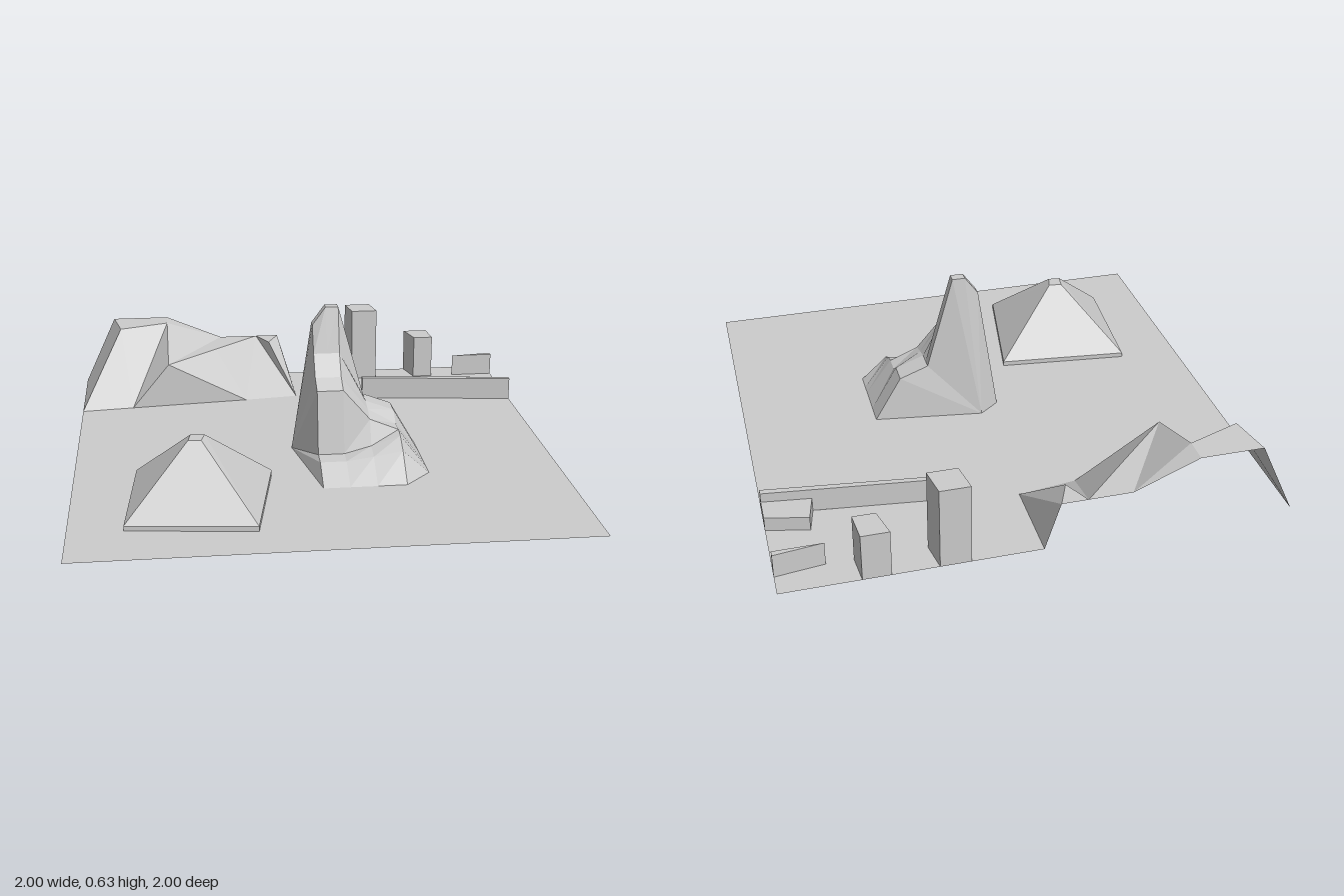
import * as THREE from 'three';

const material = new THREE.MeshStandardMaterial({
  color: 0xcccccc, flatShading: true, side: THREE.DoubleSide,
});

// Mesh from polygons; each polygon is a list of [x, y, z] corners.
function facets(name, polygons) {
  const pos = [];
  for (const p of polygons)
    for (let i = 1; i < p.length - 1; i++) pos.push(...p[0], ...p[i], ...p[i + 1]);
  const g = new THREE.BufferGeometry();
  g.setAttribute('position', new THREE.Float32BufferAttribute(pos, 3));
  g.computeVertexNormals();
  const m = new THREE.Mesh(g, material);
  m.name = name;
  return m;
}

const at = (plan, y) => plan.map(([x, z]) => [x, y, z]);

// Quads joining two rows of points, open or closed.
function band(a, b, closed = false) {
  const out = [];
  const n = closed ? a.length : a.length - 1;
  for (let i = 0; i < n; i++) {
    const j = (i + 1) % a.length;
    out.push([a[i], a[j], b[j], b[i]]);
  }
  return out;
}

// Stacked rings with a cap on the last one and an open bottom.
function stack(name, rings) {
  const polys = [];
  for (let i = 0; i < rings.length - 1; i++) polys.push(...band(rings[i], rings[i + 1], true));
  polys.push(rings[rings.length - 1]);
  return facets(name, polys);
}

// Plans are [x, z], counter-clockwise from above.
const pyramidPlan = [[-0.745, 0.225], [-0.787, 0.757], [-0.285, 0.815], [-0.195, 0.285]];
const pyramidTop = [[-0.525, 0.49], [-0.535, 0.55], [-0.485, 0.555], [-0.47, 0.495]];
const towerPlan = [[-0.085, 0], [0, 0.45], [0.45, 0.45], [0.45, 0], [0, -0.065]];
const tallBlock = [[0.28, -1], [0.3, -0.88], [0.42, -0.88], [0.4, -1]];
const shortBlock = [[0.58, -1], [0.61, -0.88], [0.7, -0.88], [0.69, -1]];
const longWall = [[0.31, -0.612], [0.31, -0.59], [1, -0.505], [1, -0.53]];
const lowBlock = [[0.83, -0.67], [0.805, -0.555], [1, -0.53], [1, -0.63]];
const cornerWall = [[0.805, -0.88], [1, -0.88], [1, -0.905]];

// Ground sheet, open under everything that stands on it.
function ground() {
  const outline = [
    [-1, 1], [1, 1], [1, -0.505], [0.31, -0.59], [0.31, -0.612], [0.807, -0.553],
    [0.83, -0.67], [1, -0.63], [1, -0.88], [0.805, -0.88], [1, -0.905], [1, -1],
    ...[...shortBlock].reverse(), ...[...tallBlock].reverse(),
    [0, -1], [0, -0.655], [-0.24, -0.625], [-0.77, -0.573], [-1, -0.55],
  ];
  const v = (p) => p.map(([x, z]) => new THREE.Vector2(x, -z));
  const shape = new THREE.Shape(v(outline));
  shape.holes.push(new THREE.Path(v(pyramidPlan)), new THREE.Path(v(towerPlan)));
  const m = new THREE.Mesh(new THREE.ShapeGeometry(shape).rotateX(-Math.PI / 2), material);
  m.name = 'ground';
  return m;
}

// Hills along the back edge, cut open at the back.
function hills() {
  const footL = [-1, 0, -0.55], footM = [-0.77, 0, -0.573], footR = [-0.24, 0, -0.625];
  const sideL = [-1, 0, -0.75], backL = [-1, 0, -1];
  const topBL = [-0.855, 0.31, -1], topFL = [-0.82, 0.31, -0.82];
  const topFR = [-0.6, 0.31, -0.9], topBR = [-0.6, 0.31, -1];
  const brow = [-0.6, 0.2, -0.588], ledgeL = [-0.34, 0.2, -1];
  const ledgeF = [-0.375, 0.2, -0.8], ledgeR = [-0.165, 0.2, -1];
  const spurF = [-0.11, 0.2, -0.89], spurB = [-0.06, 0.2, -1];
  const endF = [0, 0, -0.655], endB = [0, 0, -1];
  const high = facets('highHill', [
    [backL, sideL, topFL, topBL],
    [sideL, footL, topFL],
    [footL, footM, topFL], [footM, topFR, topFL], [footM, brow, topFR],
    [topBL, topFL, topFR, topBR],
    [topBR, topFR, ledgeL], [topFR, brow, ledgeL],
  ]);
  const low = facets('lowHill', [
    [ledgeL, brow, ledgeF, ledgeR],
    [footM, footR, brow],
    [brow, footR, ledgeF],
    [ledgeF, footR, ledgeR], [footR, endF, ledgeR],
    [ledgeR, endF, spurF], [ledgeR, spurF, spurB],
    [spurB, spurF, endF, endB],
  ]);
  return [high, low];
}

// Stepped rock tower: rows from back to front, heights across the columns.
function tower() {
  const cols = [0, 0.055, 0.108, 0.22, 0.34, 0.45];
  const rows = [
    [0, [0.56, 0.635, 0.635, 0.235, 0.19, 0]],
    [0.04, [0.56, 0.635, 0.635, 0.235, 0.19, 0]],
    [0.09, [0.45, 0.45, 0.45, 0.235, 0.19, 0]],
    [0.15, [0.365, 0.365, 0.365, 0.22, 0.15, 0]],
    [0.22, [0.33, 0.33, 0.33, 0.2, 0.15, 0]],
    [0.265, [0.07, 0.07, 0.07, 0.1, 0.14, 0]],
    [0.335, [0.065, 0.065, 0.065, 0.08, 0.1, 0]],
    [0.45, [0, 0, 0, 0, 0, 0]],
  ];
  const grid = rows.map(([z, h]) => h.map((y, i) => [cols[i], y, z]));
  const polys = [];
  for (let i = 0; i < grid.length - 1; i++) polys.push(...band(grid[i + 1], grid[i]));
  // Left flank and back buttress close the sides.
  const corner = [-0.085, 0, 0], heel = [0, 0, -0.065];
  for (let i = 0; i < grid.length - 1; i++) polys.push([corner, grid[i + 1][0], grid[i][0]]);
  polys.push([heel, corner, grid[0][0]]);
  for (let i = 0; i < cols.length - 1; i++) polys.push([heel, grid[0][i], grid[0][i + 1]]);
  return facets('rockTower', polys);
}

export function createModel() {
  const model = new THREE.Group();
  model.name = 'terrain';
  model.add(ground(), ...hills(), tower());
  model.add(stack('pyramid', [at(pyramidPlan, 0), at(pyramidPlan, 0.02), at(pyramidTop, 0.27)]));

  // Simple buildings and walls
  const blocks = [
    ['tallBuilding', tallBlock, 0.345], ['shortBuilding', shortBlock, 0.2],
    ['longWall', longWall, 0.1], ['lowBuilding', lowBlock, 0.06], ['cornerWall', cornerWall, 0.1],
  ];
  for (const [name, plan, h] of blocks) model.add(stack(name, [at(plan, 0), at(plan, h)]));
  return model;
}
